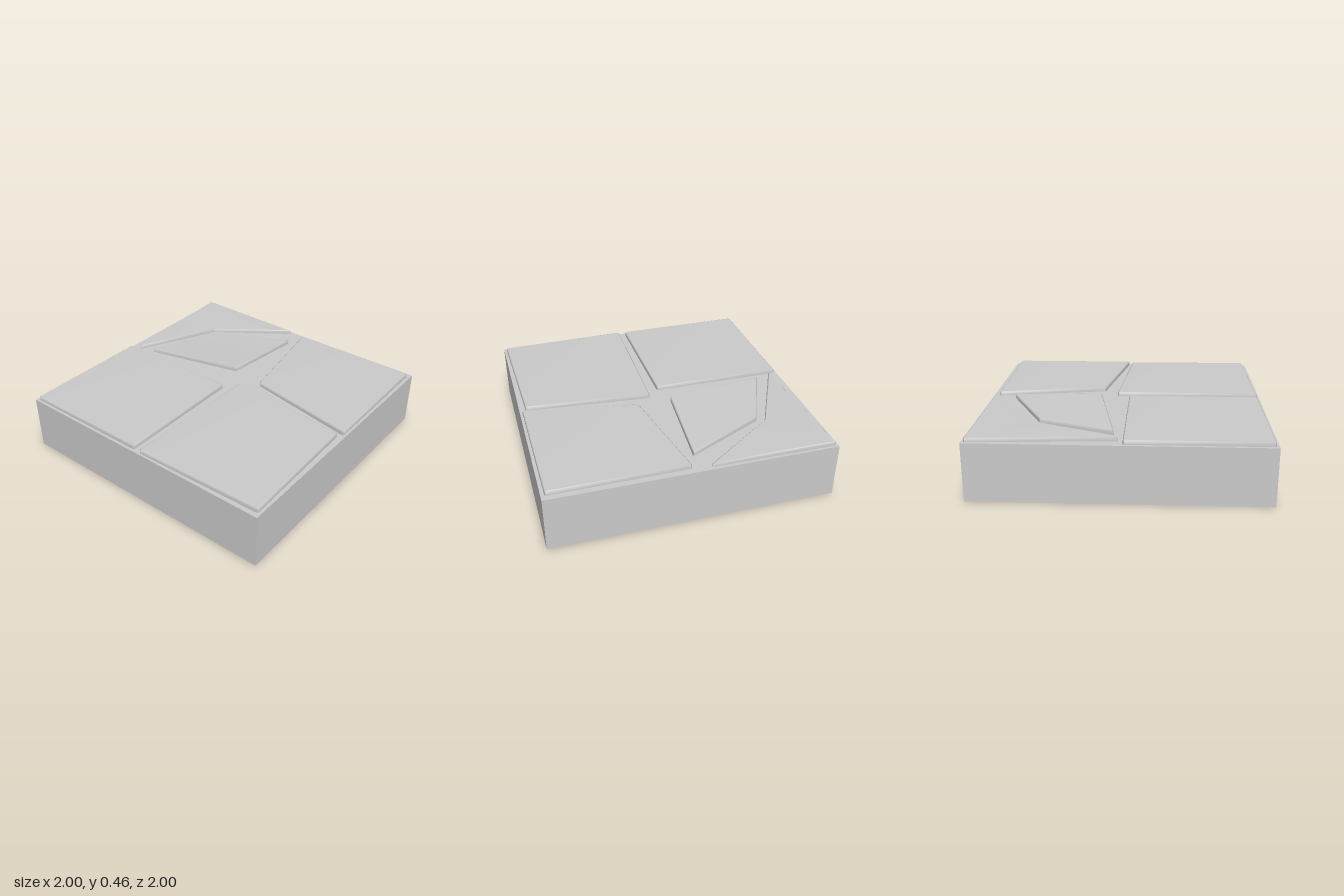
import * as THREE from 'three';

const BASE_HEIGHT = 0.4;
const THICKNESS = 0.03;
const BEVEL = 0.007;

// Moves each side of an [x, z, lift] outline inwards by d, with mitred corners
function inset(outline, d) {
  const n = outline.length;
  return outline.map(([x, z, lift = 0], i) => {
    const [px, pz] = outline[(i + n - 1) % n];
    const [qx, qz] = outline[(i + 1) % n];
    const a = new THREE.Vector2(pz - z, x - px).normalize();
    const b = new THREE.Vector2(z - qz, qx - x).normalize();
    const k = d / (1 + a.dot(b));
    return [x + (a.x + b.x) * k, z + (a.y + b.y) * k, lift];
  });
}

// Replaces every corner by two points a short way along its sides
function clipCorners(outline, c) {
  const n = outline.length;
  return outline.flatMap(([x, z, lift = 0], i) =>
    [(i + n - 1) % n, (i + 1) % n].map((j) => {
      const [qx, qz, ql = 0] = outline[j];
      const t = c / Math.hypot(qx - x, qz - z);
      return [x + (qx - x) * t, z + (qz - z) * t, lift + (ql - lift) * t];
    }));
}

// Bevelled paving slab from an outline; the third value of a corner lifts it
function slabGeometry(outline) {
  const outer = clipCorners(outline, 0.009);
  const inner = clipCorners(inset(outline, BEVEL), 0.006);
  const n = outer.length;
  const rings = [[outer, 0], [outer, 0], [outer, THICKNESS - BEVEL], [inner, THICKNESS]];
  const positions = rings.flatMap(([ring, y]) =>
    ring.flatMap(([x, z, lift]) => [x, BASE_HEIGHT + y + lift, z]));
  const index = [];

  // Sides and bevel
  for (let r = 1; r < 3; r++) {
    for (let i = 0; i < n; i++) {
      const a = r * n + i;
      const b = r * n + (i + 1) % n;
      index.push(a, a + n, b, b, a + n, b + n);
    }
  }

  // Top and underside
  const cap = (ring, start, up) => {
    const points = ring.map(([x, z]) => new THREE.Vector2(x, -z));
    for (const [a, b, c] of THREE.ShapeUtils.triangulateShape(points, [])) {
      const ccw = THREE.ShapeUtils.area([points[a], points[b], points[c]]) > 0;
      index.push(...(ccw === up ? [a, b, c] : [a, c, b]).map((v) => v + start));
    }
  };
  cap(inner, 3 * n, true);
  cap(outer, 0, false);

  const geometry = new THREE.BufferGeometry();
  geometry.setAttribute('position', new THREE.Float32BufferAttribute(positions, 3));
  geometry.setIndex(index);
  geometry.computeVertexNormals();
  return geometry;
}

export function createModel() {
  const group = new THREE.Group();
  group.name = 'crackedFloorTile';
  const material = new THREE.MeshStandardMaterial({ color: 0xcccccc });
  const add = (name, geometry) => {
    const mesh = new THREE.Mesh(geometry, material);
    mesh.name = name;
    group.add(mesh);
    return mesh;
  };

  // Foundation block
  add('base', new THREE.BoxGeometry(2, BASE_HEIGHT, 2)).position.y = BASE_HEIGHT / 2;

  // Paving slabs, with one broken into two shards
  const slabs = {
    backRightSlab: [[-0.98, -0.98], [-0.025, -0.98], [-0.03, -0.03], [-0.98, -0.025]],
    frontRightSlab: [[-0.985, 0.03], [0.06, 0.05], [-0.02, 0.955], [-0.965, 0.98]],
    frontLeftSlab: [[0.16, 0.165], [0.955, 0.022], [0.96, 0.975], [0.008, 0.982]],
    outerShard: [[0, -0.922], [0.983, -0.98], [0.975, -0.1], [0.6, -0.63]],
    tiltedShard: [[0.04, -0.81], [0.56, -0.585], [0.83, -0.025], [0.175, -0.07, 0.03]],
  };
  for (const [name, outline] of Object.entries(slabs)) add(name, slabGeometry(outline));

  return group;
}
